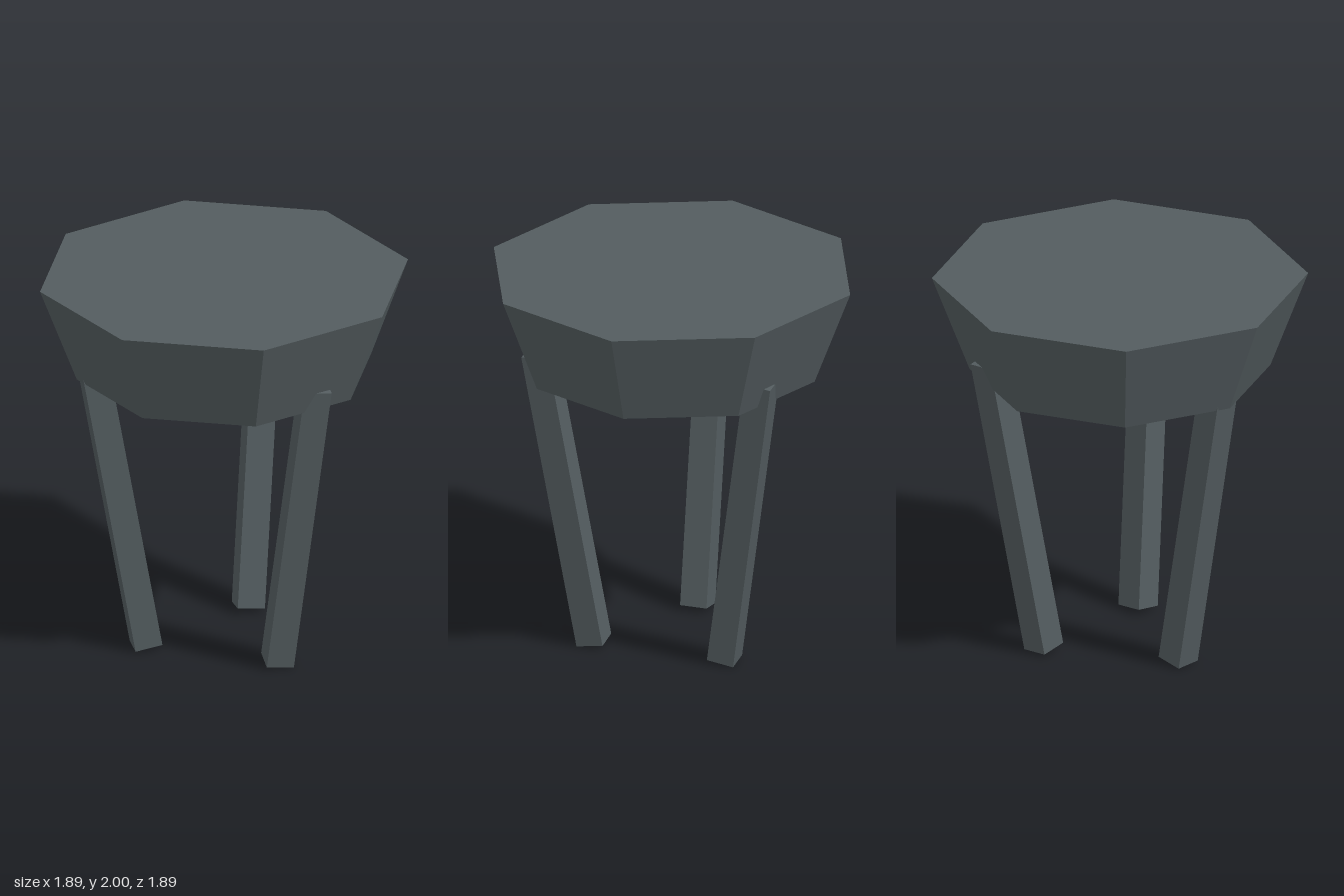
import * as THREE from 'three';

export function createModel() {
  const model = new THREE.Group();
  const slate = new THREE.MeshStandardMaterial({ color: 0x535c5f, flatShading: true });
  slate.name = 'slate grey';

  // Octagonal seat tapering downwards, corners on the axes
  const seat = new THREE.Mesh(new THREE.CylinderGeometry(0.945, 0.756, 0.5, 8), slate);
  seat.name = 'seat';
  seat.position.y = 1.75;
  model.add(seat);

  // Three square legs leaning outwards by 10 degrees towards the seat
  const up = new THREE.Vector3(0, 1, 0);
  const tilt = THREE.MathUtils.degToRad(10);
  const length = 1.625;
  const legGeometry = new THREE.BoxGeometry(0.14, length, 0.14);
  legGeometry.translate(0, length / 2, 0); // pivot at the foot
  ['leftFrontLeg', 'rightLeg', 'leftBackLeg'].forEach((name, i) => {
    const angle = Math.PI / 3 + (i * Math.PI * 2) / 3;
    const x = Math.cos(angle), z = Math.sin(angle);
    const lean = new THREE.Vector3(x * Math.sin(tilt), Math.cos(tilt), z * Math.sin(tilt));
    const leg = new THREE.Mesh(legGeometry, slate);
    leg.name = name;
    leg.position.set(x * 0.4, 0.018, z * 0.4);
    leg.quaternion.setFromUnitVectors(up, lean);
    model.add(leg);
  });

  return model;
}
